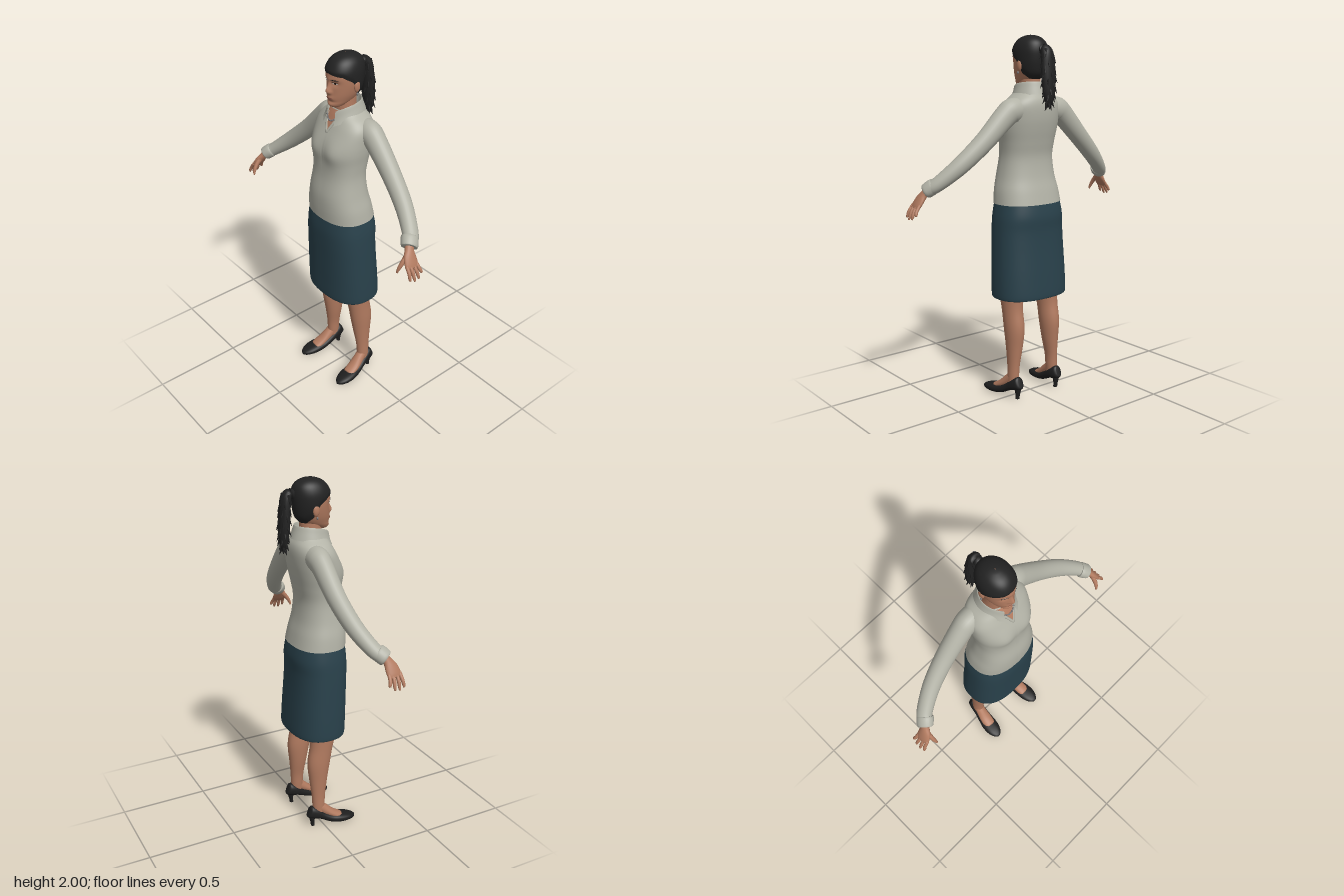
import * as THREE from 'three';

const mat = (name, color, side = THREE.FrontSide) => {
  const m = new THREE.MeshStandardMaterial({ color, side });
  m.name = name;
  return m;
};
const V = (x, y, z) => new THREE.Vector3(x, y, z);
const spow = (v, p) => Math.sign(v) * Math.abs(v) ** p;
const gauss = (x, s) => Math.exp(-(x * x) / (2 * s * s));

// Smooth interpolation of every column of a small table, t in 0..1
function sample(rows, t) {
  const n = rows.length - 1, f = Math.min(Math.max(t, 0), 1) * n;
  const i = Math.min(Math.floor(f), n - 1), k = f - i;
  const r = (j) => rows[Math.min(Math.max(j, 0), n)];
  return rows[0].map((_, c) => {
    const a = r(i - 1)[c], b = r(i)[c], d = r(i + 1)[c], e = r(i + 2)[c];
    return b + 0.5 * k * (d - a + k * (2 * a - 5 * b + 4 * d - e + k * (3 * (b - d) + e - a)));
  });
}

// Surface from a function of (u, v); closed wraps around in u
function grid(fn, nu, nv, closed = true) {
  const pos = [], idx = [], w = closed ? nu : nu + 1;
  for (let j = 0; j <= nv; j++)
    for (let i = 0; i < w; i++) pos.push(...fn(i / nu, j / nv).toArray());
  for (let j = 0; j < nv; j++)
    for (let i = 0; i < nu; i++) {
      const a = j * w + i, b = j * w + ((i + 1) % w), c = a + w, d = b + w;
      idx.push(a, b, d, a, d, c);
    }
  const g = new THREE.BufferGeometry();
  g.setAttribute('position', new THREE.Float32BufferAttribute(pos, 3));
  g.setIndex(idx);
  g.computeVertexNormals();
  return g;
}

// Upright body surface from rows of [y, halfWidth, zFront, zBack]
function body(rows, pow, bump = () => 0) {
  const point = (th, t) => {
    const [y, hw, zf, zb] = sample(rows, t);
    const p = V(hw * spow(Math.sin(th), pow), y, (zf + zb) / 2 + ((zf - zb) / 2) * spow(Math.cos(th), pow));
    if (Math.cos(th) > 0) p.z += bump(p.x, p.y) * Math.min(1, Math.cos(th) * 2);
    return p;
  };
  const tAt = (y) => {
    let lo = 0, hi = 1;
    for (let i = 0; i < 24; i++) {
      const m = (lo + hi) / 2;
      if (sample(rows, m)[0] < y) lo = m; else hi = m;
    }
    return lo;
  };
  const at = (x, y, off = 0) => {
    const t = tAt(y), hw = sample(rows, t)[1];
    const s = Math.min(Math.max(x / hw, -1), 1);
    const p = point(Math.asin(spow(s, 1 / pow)), t);
    p.z += off;
    return p;
  };
  const mesh = (nu, nv) => grid((u, v) => point(u * Math.PI * 2, v), nu, nv);
  // thin plate lying on the front between y0 and y1
  const patch = (y0, y1, cx, half, off, nu = 12, nv = 12) =>
    grid((u, v) => at(cx + half(v) * (2 * u - 1), y0 + (y1 - y0) * v, off), nu, nv, false);
  return { point, tAt, at, mesh, patch };
}

// Rounded limb through rows of [x, y, z, radiusAcross, radiusAlongRef]
function sweep(rows, ref, nu = 20, nv = 24, pow = 1) {
  return grid((u, v) => {
    const j = Math.round(v * (nv + 2)), t = Math.min(Math.max((j - 1) / nv, 0), 1);
    const cap = j === 0 || j === nv + 2 ? 0 : 1;
    const [x, y, z, ra, rb] = sample(rows, t);
    const a = sample(rows, t - 0.01), b = sample(rows, t + 0.01);
    const T = V(b[0] - a[0], b[1] - a[1], b[2] - a[2]).normalize();
    const B = ref.clone().addScaledVector(T, -ref.dot(T)).normalize();
    const A = T.clone().cross(B), th = u * Math.PI * 2;
    return V(x, y, z).addScaledVector(A, cap * ra * spow(Math.sin(th), pow))
      .addScaledVector(B, cap * rb * spow(Math.cos(th), pow));
  }, nu, nv + 2);
}

function mirrored(g) {
  const m = g.clone().scale(-1, 1, 1), ix = m.index.array;
  for (let i = 0; i < ix.length; i += 3) [ix[i], ix[i + 1]] = [ix[i + 1], ix[i]];
  return m;
}
const ball = (x, y, z, sx, sy, sz) => new THREE.SphereGeometry(1, 16, 12).scale(sx, sy, sz).translate(x, y, z);

export function createModel() {
  const root = new THREE.Group();
  root.name = 'woman';
  const skin = mat('skin', 0xb27b60, THREE.DoubleSide), blouse = mat('blouse', 0xb2b2a6, THREE.DoubleSide);
  const skirt = mat('skirt', 0x29414b, THREE.DoubleSide), hair = mat('hair', 0x222222, THREE.DoubleSide);
  const leather = mat('shoeLeather', 0x1e1e1e), lip = mat('lips', 0x92594c, THREE.DoubleSide);
  const white = mat('eyeWhite', 0xc4b8ae, THREE.DoubleSide), iris = mat('iris', 0x2a1c16, THREE.DoubleSide);
  const silver = mat('silver', 0x77777a);
  const add = (name, g, m) => {
    const o = new THREE.Mesh(g, m);
    o.name = name;
    root.add(o);
  };
  const pair = (name, g, m) => {
    add(name + 'Left', g, m);
    add(name + 'Right', mirrored(g), m);
  };
  const X = V(1, 0, 0), Y = V(0, 1, 0), Z = V(0, 0, 1);

  // Blouse
  const torso = body([[1.1, .195, .172, -.12], [1.17, .186, .175, -.105], [1.25, .168, .172, -.086],
    [1.35, .154, .155, -.077], [1.43, .158, .15, -.09], [1.5, .168, .15, -.105], [1.56, .172, .137, -.115],
    [1.62, .17, .11, -.118], [1.66, .145, .09, -.112], [1.69, .105, .076, -.096], [1.715, .075, .062, -.08]], .85,
  (x, y) => .014 * gauss(Math.abs(x) - .075, .04) * gauss(y - 1.5, .045));
  add('blouseBody', torso.mesh(64, 50), blouse);
  add('placket', torso.patch(1.105, 1.6, 0, () => .011, .003, 4, 40), blouse);
  add('chest', torso.patch(1.6, 1.712, 0, (v) => .001 + .052 * v, .004), skin);
  pair('neckEdge', sweep([0, .33, .67, 1].map((k) =>
    [...torso.at(.052 * k, 1.598 + .108 * k, .003).toArray(), .007, .005]), Z, 8, 10), blouse);
  pair('sleeve', sweep([[.08, 1.608, -.035, .06, .056], [.15, 1.605, -.035, .068, .06], [.2, 1.575, -.034, .062, .056],
    [.33, 1.45, -.025, .053, .05], [.46, 1.335, .003, .047, .046], [.566, 1.245, .052, .038, .042],
    [.602, 1.215, .09, .034, .04]], Z, 28, 36), blouse);
  pair('cuff', sweep([[.578, 1.236, .068, .036, .042], [.584, 1.231, .074, .04, .046],
    [.606, 1.211, .093, .038, .045], [.61, 1.207, .097, .033, .04]], Z, 28, 8), blouse);

  // Folded collar, open at the front
  add('collar', grid((u, v) => {
    const a = .4 + u * (2 * Math.PI - .8), f = Math.abs(2 * u - 1) ** 3;
    const [r, y, drop] = sample([[.066, 1.69, .02], [.074, 1.73, .03], [.08, 1.758, .045], [.09, 1.73, .06], [.103, 1.69, .05]], v);
    return V(Math.sin(a) * r, y - drop * f, -.002 + Math.cos(a) * (r + .006 + .012 * f));
  }, 48, 16, false), blouse);

  // Skirt with a turned-in hem
  add('skirt', body([[.605, .208, .152, -.13], [.58, .212, .156, -.135], [.59, .22, .165, -.144], [.7, .219, .168, -.138],
    [.85, .213, .172, -.127], [.95, .208, .175, -.123], [1.03, .202, .175, -.126], [1.107, .189, .167, -.114]], .82)
    .mesh(64, 40), skirt);

  // Head with a modelled face
  const head = body([[1.728, .004, .07, .055], [1.734, .03, .09, .02], [1.75, .046, .099, -.02], [1.77, .058, .1, -.06],
    [1.8, .07, .101, -.083], [1.84, .079, .1, -.093], [1.88, .083, .102, -.098], [1.92, .082, .1, -.099],
    [1.955, .071, .083, -.09], [1.978, .052, .058, -.068], [1.991, .026, .025, -.036], [1.994, .001, 0, -.005]], .97,
  (x, y) => .02 * gauss(x, .009) * gauss(y - 1.824, .013) + .009 * gauss(x, .008) * gauss(y - 1.85, .016)
    + .007 * gauss(Math.abs(x) - .012, .006) * gauss(y - 1.816, .007)
    - .009 * gauss(Math.abs(x) - .032, .014) * gauss(y - 1.864, .011) + .003 * gauss(x, .045) * gauss(y - 1.885, .008)
    + .007 * gauss(x, .018) * gauss(y - 1.785, .01) - .004 * gauss(x, .02) * gauss(y - 1.765, .006)
    + .006 * gauss(x, .018) * gauss(y - 1.745, .008));
  add('head', head.mesh(112, 90), skin);
  const lens = (w) => (v) => w * Math.sqrt(Math.max(.0004, 1 - (2 * v - 1) ** 2));
  pair('eye', head.patch(1.86, 1.869, .032, lens(.013), .002), white);
  pair('iris', head.patch(1.86, 1.869, .032, lens(.005), .004), iris);
  pair('eyelid', head.patch(1.868, 1.871, .032, () => .014, .004, 12, 2), iris);
  pair('eyebrow', head.patch(1.882, 1.887, .034, lens(.018), .003), hair);
  add('lips', head.patch(1.778, 1.79, 0, lens(.023), .002), lip);
  pair('ear', ball(.082, 1.84, -.01, .01, .03, .018).rotateX(0), skin);
  pair('earring', ball(.088, 1.803, -.006, .005, .008, .005), silver);
  add('neck', sweep([[0, 1.63, -.015, .062, .066], [0, 1.7, -.003, .055, .06], [0, 1.78, 0, .053, .06]], Z, 32, 12), skin);

  // Hair cap following a hairline
  const line = [[0, 1.912], [.9, 1.9], [1.45, 1.868], [1.85, 1.8], [2.4, 1.772], [Math.PI, 1.768]];
  const hairline = (a) => {
    const i = Math.max(1, line.findIndex((p) => p[0] >= a - 1e-6)), [p, q] = [line[i - 1], line[i]];
    return p[1] + (q[1] - p[1]) * (a - p[0]) / (q[0] - p[0]);
  };
  add('hairCap', grid((u, v) => {
    const th = u * Math.PI * 2, t0 = head.tAt(hairline(Math.min(th, 2 * Math.PI - th)));
    const p = head.point(th, t0 + (1 - t0) * v), k = 1 + .07 * Math.min(1, v * 8 + .15);
    return V(p.x * k, p.y + .006 * v, p.z * k);
  }, 72, 30), hair);

  // Ponytail with ragged strands
  const tail = [[0, 1.905, -.09, .022, .02], [0, 1.93, -.118, .026, .022], [0, 1.905, -.142, .036, .026],
    [0, 1.83, -.15, .043, .028], [0, 1.75, -.155, .042, .028], [0, 1.68, -.158, .032, .022], [0, 1.63, -.156, .012, .01]];
  add('ponytail', sweep(tail, V(0, .3, 1), 20, 30), hair);
  for (let i = 0; i < 46; i++) {
    const t = .3 + .68 * (i / 45), a = i * 2.4, [x, y, z, rx, rz] = sample(tail, t);
    const dir = V(Math.sin(a) * .5, -1, Math.cos(a) * .5).normalize();
    const g = new THREE.ConeGeometry(.012, .05, 5).applyQuaternion(new THREE.Quaternion().setFromUnitVectors(Y, dir));
    add('strand', g.translate(x + Math.sin(a) * rx * .95, y - .008, z + Math.cos(a) * rz * .95), hair);
  }

  // Necklace beads
  for (let i = -5; i <= 5; i++) {
    const x = i * .0068, p = torso.at(x, 1.658 + 18 * x * x, .008);
    add('necklaceBead', ball(p.x, p.y, p.z, .0042, .005, .004), silver);
  }

  // Hands
  pair('palm', sweep([[.597, 1.22, .085, .02, .026], [.615, 1.195, .102, .019, .025], [.633, 1.168, .114, .018, .036],
    [.652, 1.138, .12, .015, .04], [.664, 1.12, .123, .01, .036]], Z, 20, 16), skin);
  [[.092, .08, 1.085, .685], [.112, .105, 1.066, .694], [.133, .132, 1.062, .695], [.152, .158, 1.072, .69]].forEach(
    ([z0, z1, yt, xt]) => pair('finger', sweep([[.652, 1.14, z0, .009, .01], [.676, 1.108, (z0 + z1) / 2, .009, .0095],
      [(.68 + xt) / 2, (1.1 + yt) / 2, z1, .008, .0085], [xt, yt, z1, .004, .005]], Z, 10, 12), skin));
  pair('thumb', sweep([[.622, 1.182, .118, .013, .016], [.624, 1.152, .148, .012, .013],
    [.62, 1.12, .17, .01, .01], [.614, 1.092, .18, .005, .005]], Z, 12, 12), skin);

  // Legs and feet
  pair('leg', sweep([[.108, .95, .02, .085, .085], [.115, .75, .016, .076, .085], [.122, .6, .012, .06, .08],
    [.126, .5, 0, .053, .068], [.127, .4, -.016, .052, .067], [.13, .3, -.02, .044, .054], [.137, .2, -.022, .033, .041],
    [.14, .13, -.022, .031, .037], [.142, .085, -.02, .029, .038]], Z, 28, 36), skin);
  pair('foot', sweep([[.14, .13, -.03, .028, .03], [.146, .095, .01, .031, .03], [.154, .06, .06, .036, .022],
    [.16, .035, .11, .036, .018]], Y, 20, 16), skin);

  // Court shoes: [x, y, z, halfWidth, halfHeight]
  pair('shoe', sweep([[.14, .098, -.086, .012, .028], [.14, .094, -.076, .027, .036], [.141, .083, -.045, .035, .034],
    [.145, .06, 0, .038, .025], [.153, .036, .05, .043, .025], [.161, .027, .1, .048, .026], [.166, .022, .15, .043, .021],
    [.168, .016, .185, .026, .014], [.168, .013, .2, .006, .006]], Y, 28, 40, .85), leather);
  pair('heel', sweep([[.14, .085, -.06, .028, .026], [.14, .05, -.064, .017, .018], [.14, .02, -.062, .011, .013],
    [.14, .001, -.06, .011, .013]], X, 16, 12), leather);
  return root;
}
